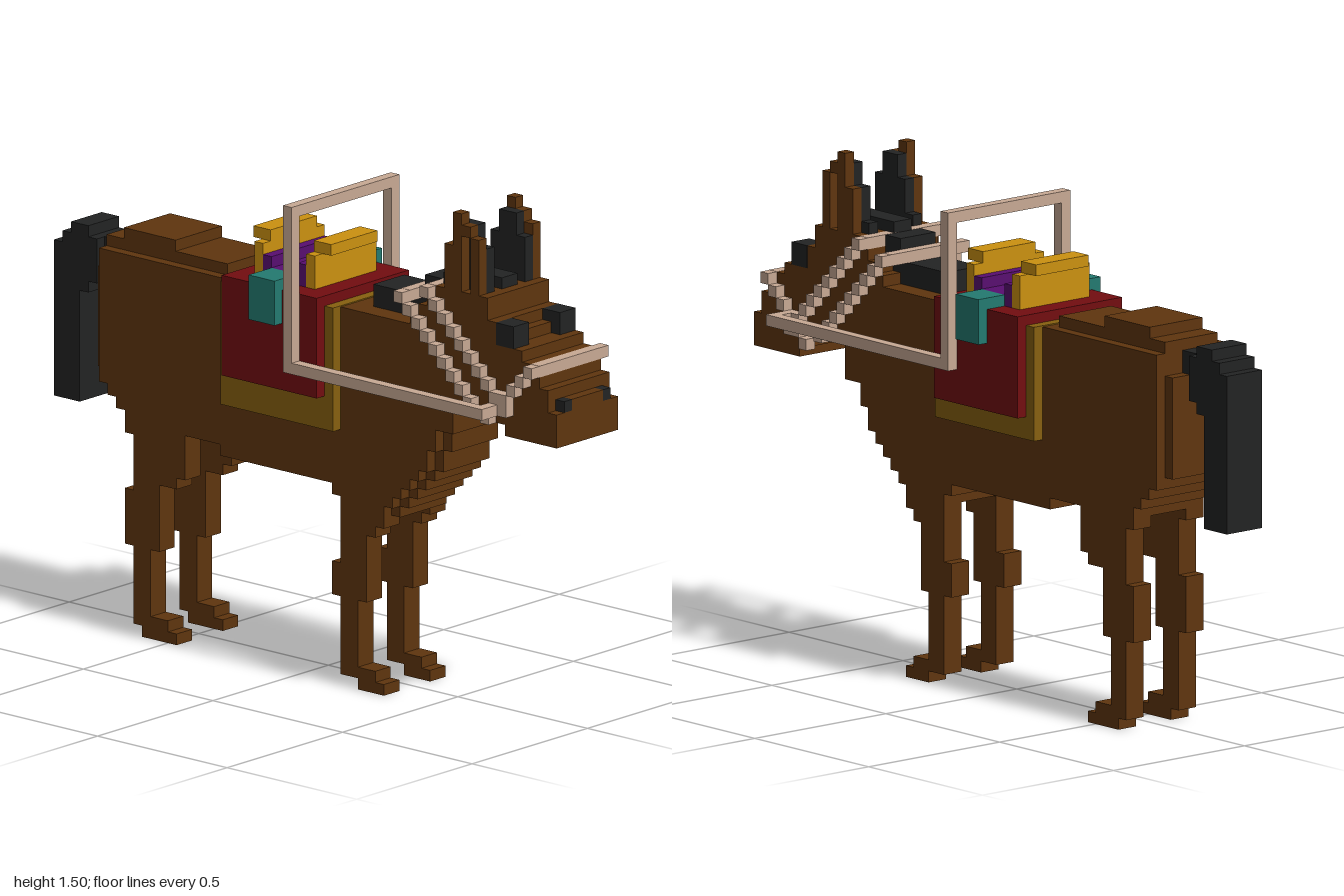
import * as THREE from 'three';

// Block unit. Columns k count back from the nose, rows j count up from the ground, x is in blocks.
const U = 1 / 30;

const paint = (name, color) => {
  const m = new THREE.MeshStandardMaterial({ color });
  m.name = name;
  return m;
};

export function createModel() {
  const brown = paint('coat brown', 0x5f350e);
  const black = paint('hair black', 0x222323);
  const beige = paint('strap beige', 0xc8a994);
  const ochre = paint('blanket ochre', 0x87600f);
  const yellow = paint('saddle yellow', 0xcb9110);
  const red = paint('saddle red', 0x720d10);
  const purple = paint('seat purple', 0x580e70);
  const teal = paint('pack teal', 0x237a70);

  const model = new THREE.Group();
  model.name = 'saddledHorse';

  const add = (name, geo, mat, parent = model) => {
    const mesh = new THREE.Mesh(geo, mat);
    mesh.name = name;
    parent.add(mesh);
    return mesh;
  };

  // Box spanning block ranges
  const box = (name, mat, x0, x1, j0, j1, k0, k1, parent) => {
    const geo = new THREE.BoxGeometry((x1 - x0) * U, (j1 - j0) * U, (k1 - k0) * U);
    geo.translate(((x0 + x1) / 2) * U, ((j0 + j1) / 2) * U, 1 - ((k0 + k1) / 2) * U);
    return add(name, geo, mat, parent);
  };

  // Stepped side outline: k and j alternate, each pair starts a horizontal run
  const slab = (name, mat, x0, x1, path, parent) => {
    const pts = [];
    const n = path.length;
    for (let i = 0; i < n; i += 2) {
      const y = path[i + 1] * U;
      pts.push(new THREE.Vector2(1 - path[i] * U, y));
      pts.push(new THREE.Vector2(1 - path[(i + 2) % n] * U, y));
    }
    const geo = new THREE.ExtrudeGeometry(new THREE.Shape(pts), { depth: (x1 - x0) * U, bevelEnabled: false });
    geo.rotateY(-Math.PI / 2);
    geo.translate(x1 * U, 0, 0);
    return add(name, geo, mat, parent);
  };

  // The same range on both sides
  const both = (fn) => {
    fn('left', (a, b) => [a, b]);
    fn('right', (a, b) => [-b, -a]);
  };

  // Body, neck and head; s sets the chest steps back
  const bodyPath = (s) => [
    0, 29, 1, 31, 2, 32, 3, 33, 4, 34, 7, 36, 8, 38, 14, 37, 15, 36, 16, 35, 17, 34,
    53, 22, 52, 21, 51, 20, 50, 19, 39, 18, 26, 17, 25, 16,
    19 + s, 17, 18 + s, 18, 17 + s, 19, 16 + s, 20, 15 + s, 21, 14 + s, 23, 13 + s, 25,
    12, 28, 7, 27, 6, 26,
  ];
  slab('bodyCore', brown, -3, 3, bodyPath(0));
  both((side, r) => slab(side + 'Flank', brown, ...r(3, 4), bodyPath(1)));
  box('rump', brown, -3, 3, 23, 32, 53, 54);
  box('croupLower', brown, -3, 3, 34, 35, 39, 53);
  box('croupUpper', brown, -3, 3, 35, 36, 45, 51);
  box('noseBridge', brown, -2, 2, 29, 30, 0, 1);
  box('brow', brown, -2, 2, 34, 35, 6, 7);

  // Legs, ears, eyes and nostrils
  const frontLeg = [20, 1, 21, 2, 23, 8, 22, 14, 21, 15, 20, 17, 25, 11, 26, 8, 25, 1, 23, 0];
  const hindLeg = [44, 1, 45, 2, 47, 8, 46, 14, 44, 15, 43, 20, 50, 18, 49, 13, 50, 8, 49, 1, 48, 0];
  const ear = [9, 43, 10, 44, 11, 45, 12, 42, 13, 38, 11, 43, 10, 38];
  const innerEar = [9, 42, 10, 44, 12, 42, 13, 39, 14, 38];
  both((side, r) => {
    slab(side + 'FrontLeg', brown, ...r(2, 4), frontLeg);
    slab(side + 'HindLeg', brown, ...r(2, 4), hindLeg);
    slab(side + 'Ear', brown, ...r(3, 4), ear);
    slab(side + 'InnerEar', black, ...r(2, 3), innerEar);
    box(side + 'Eye', black, ...r(2, 4.04), 34, 36, 4.96, 7);
    box(side + 'Nostril', black, ...r(2, 3), 29, 30, 0, 1);
  });

  // Mane and tail
  box('forelock', black, -1, 1, 38, 39, 9, 15);
  box('upperMane', black, -2, 2, 34, 38, 14, 17);
  box('lowerMane', black, -2, 2, 34, 36, 17, 23);
  box('tailRoot', black, -1, 1, 32, 34, 53, 55);
  slab('tail', black, -2, 2, [55, 34, 56, 35, 58, 34, 59, 33, 60, 19, 57, 29, 56, 30]);

  // Bridle: stepped straps on each cheek joined by cross straps
  const bridle = new THREE.Group();
  bridle.name = 'bridle';
  model.add(bridle);
  const straps = [
    ['noseStrap', 2, 32, 1, 6],
    ['cheekStrap', 14, 37, -1, 10],
    ['throatStrap', 17, 36, -1, 9],
  ];
  for (const [name, k, j, dir, count] of straps) {
    both((side, r) => {
      for (let i = 0; i < count; i++) {
        const kk = k + dir * i;
        box(side + name, beige, ...r(4, 5), j - i, j - i + 1, kk, kk + 1, bridle);
      }
    });
    box(name + 'Cross', beige, -4, 4, j, j + 1.02, k - 0.02, k + 1, bridle);
  }

  // Reins run back from the bit and rise over the saddle
  const reins = (side, r, j, k) => {
    box(side + 'Bit', beige, ...r(4, 7), j, j + 1, k, k + 1, bridle);
    box(side + 'Rein', beige, ...r(6, 7), j, j + 1, k + 1, 28, bridle);
    box(side + 'ReinPost', beige, ...r(6, 7), j, 43, 28, 29, bridle);
  };
  both((side, r) => (side === 'left' ? reins(side, r, 29, 5) : reins(side, r, 28, 6)));
  box('reinTop', beige, -6, 6, 42, 43, 28, 29, bridle);

  // Blanket, saddle and packs
  const saddle = new THREE.Group();
  saddle.name = 'saddle';
  model.add(saddle);
  box('leftBlanket', ochre, 0, 5, 24, 34.1, 25, 38, saddle);
  box('rightBlanket', ochre, -5, 0, 23, 34.1, 25, 38, saddle);
  box('saddleFlaps', red, -6, 6, 26, 35, 26, 37, saddle);
  box('seat', purple, -4, 4, 35, 36, 29, 34, saddle);
  box('seatFrontRidge', purple, -4, 4, 36, 37, 29, 30, saddle);
  box('seatBackRidge', purple, -4, 4, 36, 37, 33, 34, saddle);
  box('pommel', yellow, -4, 4, 35, 38, 28, 29, saddle);
  box('pommelLip', yellow, -3, 3, 38, 39, 27, 29, saddle);
  box('cantle', yellow, -4, 4, 35, 38, 34, 35, saddle);
  box('cantleLip', yellow, -3, 3, 38, 39, 34, 36, saddle);
  both((side, r) => box(side + 'Pack', teal, ...r(4, 7), 32, 36, 30, 33, saddle));

  return model;
}
